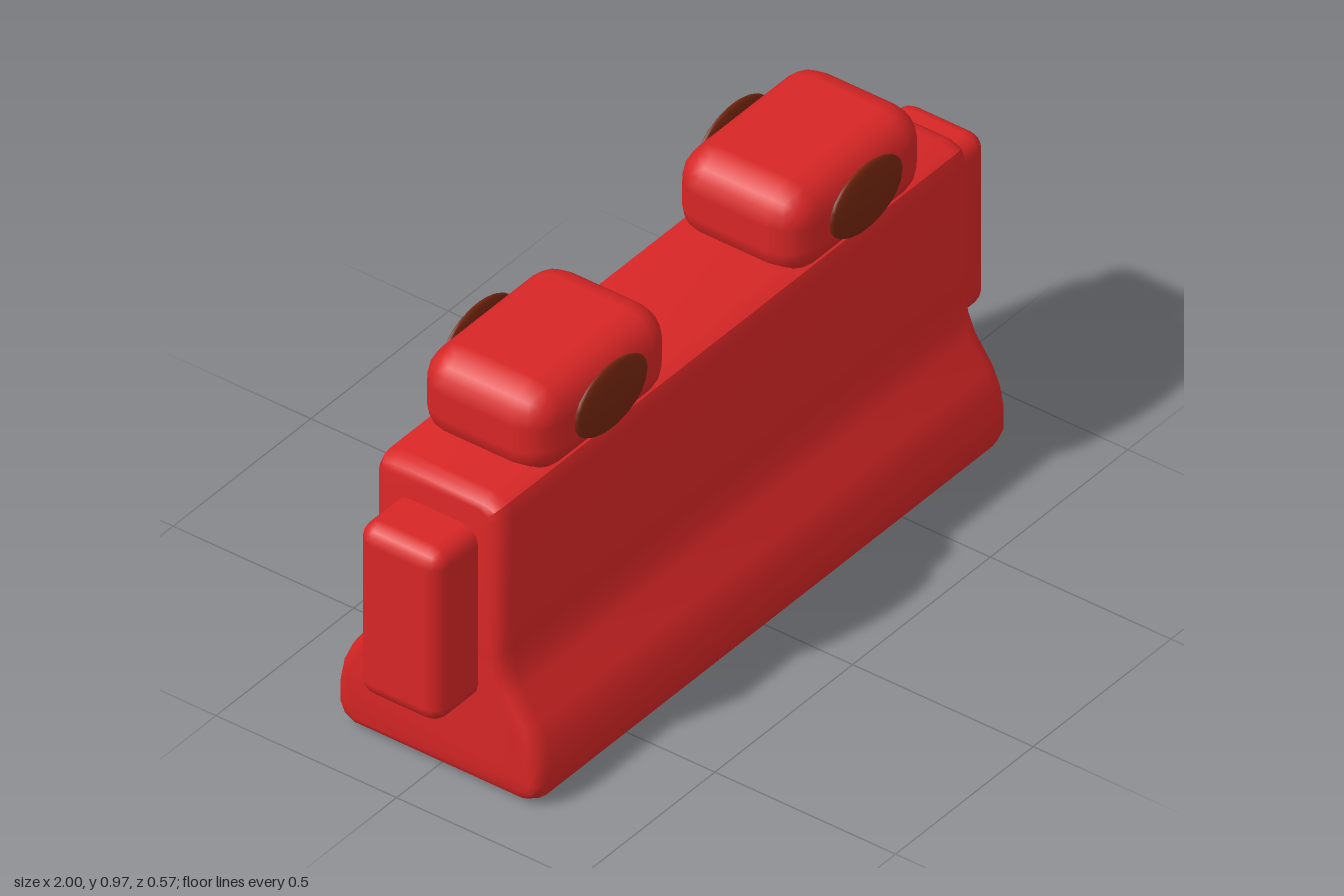
import * as THREE from 'three';
import { toCreasedNormals } from 'three/addons/utils/BufferGeometryUtils.js';
import { RoundedBoxGeometry } from 'three/addons/geometries/RoundedBoxGeometry.js';

export function createModel() {
  const model = new THREE.Group();
  model.name = 'roadBarrier';

  const red = new THREE.MeshStandardMaterial({ color: 0xd82626 });
  red.name = 'red plastic';
  const brown = new THREE.MeshStandardMaterial({ color: 0x76260f });
  brown.name = 'brown lens';

  const add = (name, geometry, material, x, y, z) => {
    const mesh = new THREE.Mesh(geometry, material);
    mesh.name = name;
    mesh.position.set(x, y, z);
    model.add(mesh);
    return mesh;
  };

  // Body: flared-foot profile (half width, height), mirrored and extruded along x
  const half = [
    [0.235, 0], [0.27, 0.018], [0.286, 0.055], [0.286, 0.105], [0.275, 0.162],
    [0.253, 0.212], [0.205, 0.28], [0.187, 0.325], [0.179, 0.375],
    [0.179, 0.735], [0.166, 0.77], [0.125, 0.786],
  ];
  const outline = [...half, ...half.map(([z, y]) => [-z, y]).reverse()];
  const shape = new THREE.Shape(outline.map(([z, y]) => new THREE.Vector2(z, y)));
  const length = 1.71, bevel = 0.045;
  const body = new THREE.ExtrudeGeometry(shape, {
    depth: length - 2 * bevel, steps: 1, bevelEnabled: true,
    bevelThickness: bevel, bevelSize: 0.03, bevelOffset: -0.03, bevelSegments: 3,
  });
  body.translate(0, 0, bevel - length / 2);
  body.rotateY(Math.PI / 2);
  add('body', toCreasedNormals(body, 0.65), red, 0, 0, 0);

  const connector = new RoundedBoxGeometry(0.22, 0.466, 0.23, 2, 0.042);
  const housing = new RoundedBoxGeometry(0.495, 0.235, 0.36, 2, 0.085);
  const lens = new THREE.SphereGeometry(1, 16, 12);
  lens.scale(0.133, 0.088, 0.016);

  for (const [side, s] of [['left', 1], ['right', -1]]) {
    // End connector block
    add(side + 'Connector', connector, red, s * 0.89, 0.467, 0);
    // Lamp housing on top, with a lens on each face
    add(side + 'LampHousing', housing, red, s * 0.463, 0.857, 0);
    add(side + 'FrontLens', lens, brown, s * 0.463, 0.868, 0.184);
    add(side + 'BackLens', lens, brown, s * 0.463, 0.868, -0.184);
  }
  return model;
}
